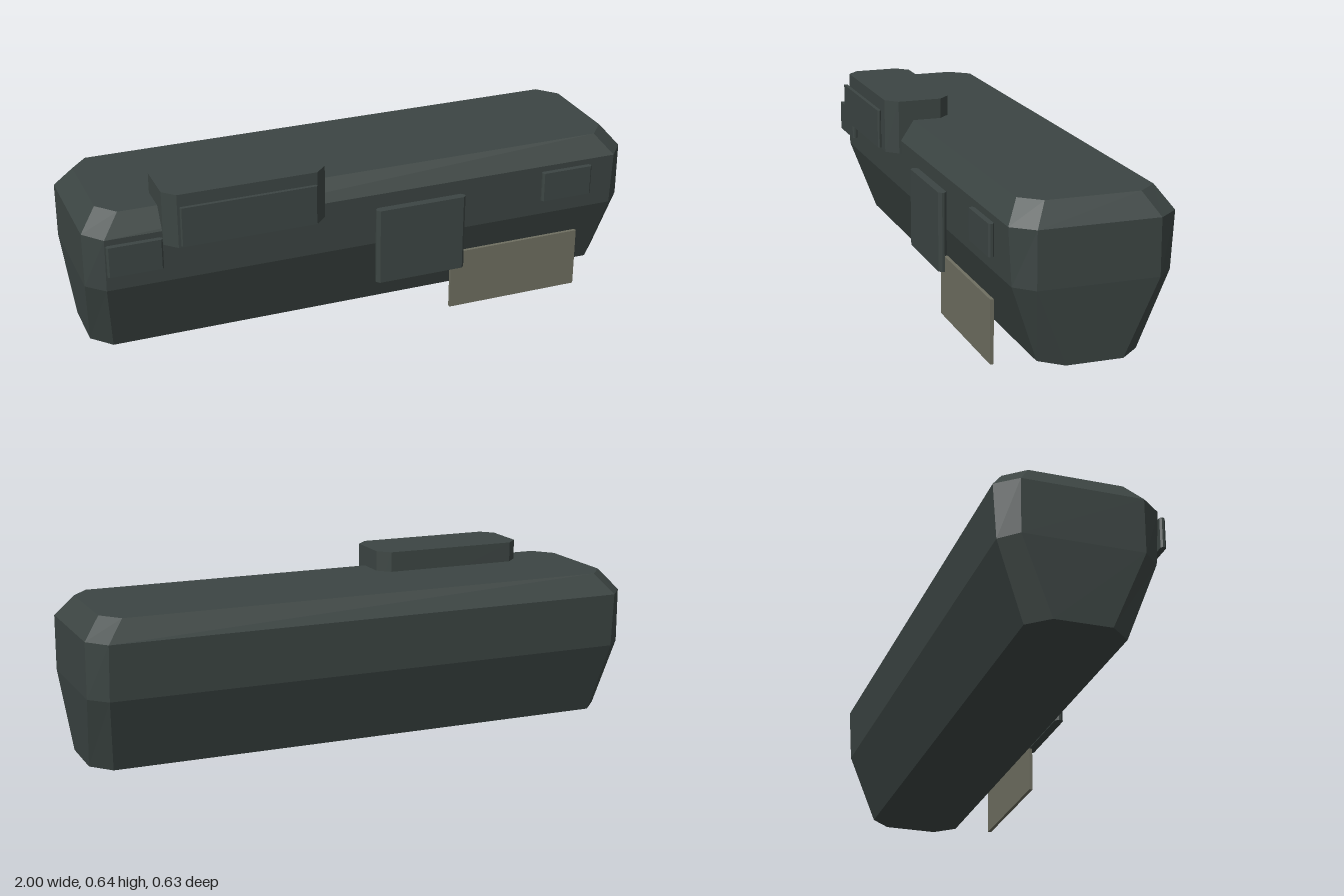
import * as THREE from 'three';

// Chamfered rectangle outline; the chamfer may differ along x and z.
function octagon(hx, hz, cx, cz) {
  return [
    [hx, hz - cz], [hx, cz - hz], [hx - cx, -hz], [cx - hx, -hz],
    [-hx, cz - hz], [-hx, hz - cz], [cx - hx, hz], [hx - cx, hz],
  ];
}

// Faceted solid lofted through octagonal rings [y, hx, hz, cx, cz], bottom to top.
function loft(rings) {
  const loops = rings.map(([y, ...r]) => octagon(...r).map(([x, z]) => [x, y, z]));
  const pos = [];
  const tri = (a, b, c) => pos.push(...a, ...b, ...c);
  for (let i = 0; i + 1 < loops.length; i++) {
    for (let j = 0; j < 8; j++) {
      const k = (j + 1) % 8;
      const a = loops[i][j], b = loops[i][k], c = loops[i + 1][k], d = loops[i + 1][j];
      tri(a, b, c);
      tri(a, c, d);
    }
  }
  const bottom = loops[0], top = loops[loops.length - 1];
  for (let j = 1; j < 7; j++) {
    tri(top[0], top[j], top[j + 1]);
    tri(bottom[0], bottom[j + 1], bottom[j]);
  }
  const g = new THREE.BufferGeometry();
  g.setAttribute('position', new THREE.Float32BufferAttribute(pos, 3));
  g.computeVertexNormals();
  return g;
}

export function createModel() {
  const group = new THREE.Group();
  const shell = new THREE.MeshStandardMaterial({ color: 0x3c4543 });
  shell.name = 'dark grey green';
  const tan = new THREE.MeshStandardMaterial({ color: 0x6e6e60 });
  tan.name = 'muted tan';

  const add = (name, geometry, material) => {
    const mesh = new THREE.Mesh(geometry, material);
    mesh.name = name;
    group.add(mesh);
    return mesh;
  };

  // Block with chamfered vertical edges, given by its extents.
  const block = (name, [x0, x1], [y0, y1], [z0, z1], c, material = shell) => {
    const hx = (x1 - x0) / 2, hz = (z1 - z0) / 2;
    const mesh = add(name, loft([[y0, hx, hz, c, c], [y1, hx, hz, c, c]]), material);
    mesh.position.set((x0 + x1) / 2, 0, (z0 + z1) / 2);
  };

  // Main body: tapered below, straight in the middle, bevelled on top
  add('body', loft([
    [0.038, 0.975, 0.169, 0.065, 0.072],
    [0.302, 1.0, 0.265, 0.06, 0.06],
    [0.495, 1.0, 0.277, 0.06, 0.072],
    [0.568, 0.94, 0.229, 0.06, 0.069],
  ]), shell).position.z = -0.035;

  // Raised housing with its front cover
  block('housing', [-0.745, -0.177], [0.448, 0.64], [0.05, 0.29], 0.041);
  block('housingCover', [-0.70, -0.225], [0.463, 0.601], [0.301, 0.314], 0.004);

  // Panels on the front
  block('rightPanel', [-0.94, -0.75], [0.37, 0.478], [0.249, 0.268], 0.006);
  block('leftPanel', [0.645, 0.84], [0.37, 0.478], [0.249, 0.268], 0.006);
  block('centrePanel', [0.01, 0.346], [0.163, 0.442], [0.238, 0.268], 0.011);

  // Hanging tag
  const tag = add('tag', new THREE.BoxGeometry(0.5, 0.218, 0.012), tan);
  tag.position.set(0.551, 0.109, 0.243);

  return group;
}
